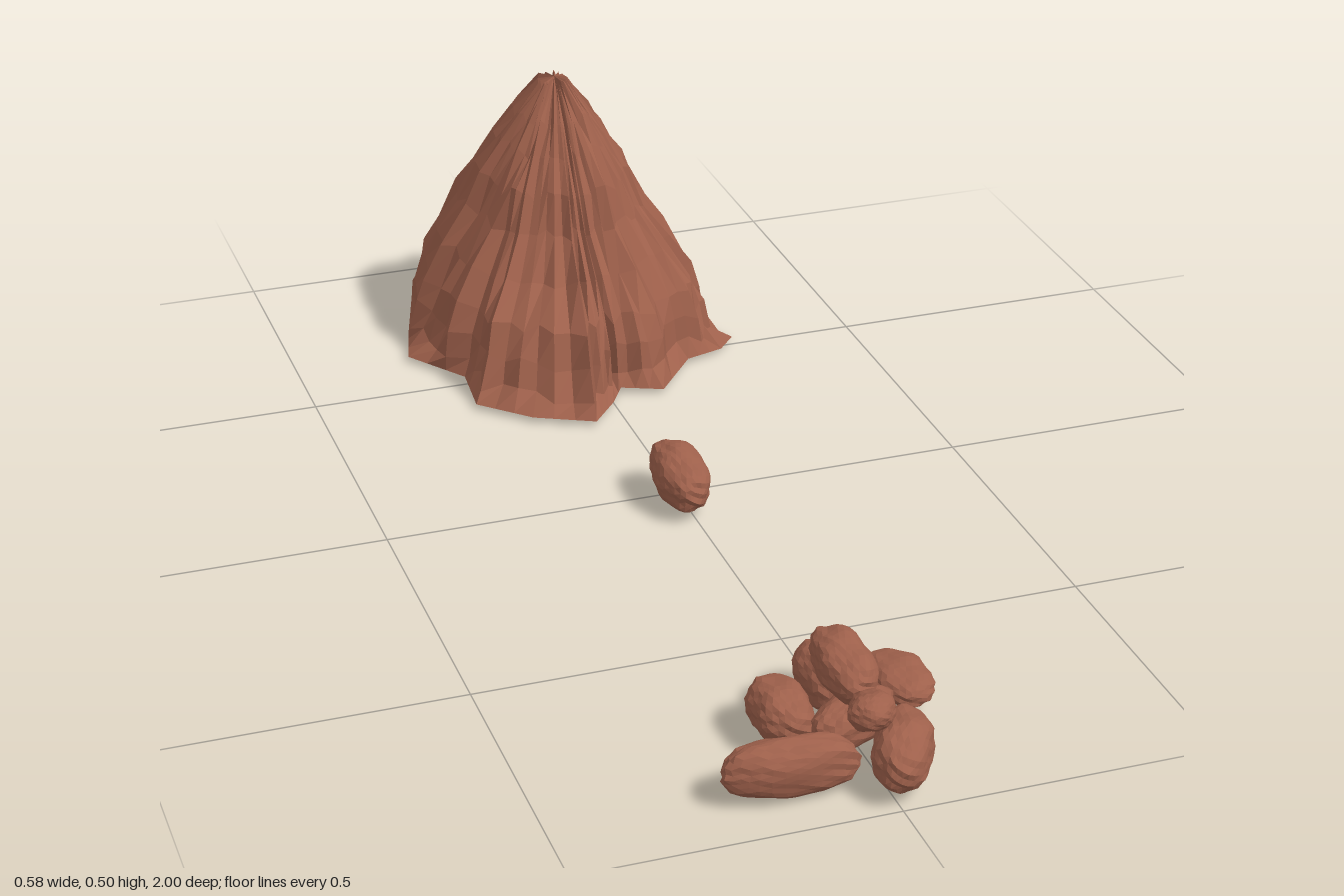
import * as THREE from 'three';

const clay = new THREE.MeshStandardMaterial({ color: 0x9e604b });
clay.name = 'red clay';
clay.flatShading = true;

function seeded(seed) {
  let s = seed;
  return () => (s = (s * 16807) % 2147483647) / 2147483647;
}

// Foot of the mound, clockwise from the back, relative to the peak: x, z
const FOOT = [
  [0, -0.34], [0.09, -0.33], [0.16, -0.3], [0.22, -0.24], [0.25, -0.21], [0.235, -0.15], [0.29, -0.09], [0.27, -0.05],
  [0.285, 0], [0.24, 0.06], [0.285, 0.15], [0.25, 0.19], [0.18, 0.21], [0.1, 0.31], [0.03, 0.28],
  [0, 0.33], [-0.05, 0.39], [-0.15, 0.34], [-0.23, 0.26], [-0.22, 0.15], [-0.295, 0.04],
  [-0.265, -0.07], [-0.225, -0.2], [-0.14, -0.3],
];
// Rings of the slope: height, radius, extra depth at the back, share of the foot outline
const RINGS = [
  [0.487, 0.022, 0.9, 0], [0.43, 0.062, 0.6, 0], [0.38, 0.093, 0.55, 0], [0.32, 0.132, 0.45, 0],
  [0.26, 0.16, 0.4, 0], [0.19, 0.205, 0.28, 0.1], [0.13, 0.236, 0.22, 0.45], [0.08, 0.255, 0.2, 0.65],
  [0.035, 0.268, 0.18, 0.85], [0.01, 0.28, 0, 1],
];

function moundGeometry() {
  const rand = seeded(4217), STEPS = 3, n = FOOT.length * STEPS;
  const pos = [0, 0.5, 0], index = [];
  const gullies = Array.from({ length: n }, (_, j) => (j % 2) * 0.04 + rand() * 0.07);
  RINGS.forEach(([y, r, depth, share], k) => {
    const last = k === RINGS.length - 1;
    for (let j = 0; j < n; j++) {
      const a = FOOT[Math.floor(j / STEPS)], b = FOOT[(Math.floor(j / STEPS) + 1) % FOOT.length];
      const t = (j % STEPS) / STEPS;
      const x = a[0] + (b[0] - a[0]) * t, z = a[1] + (b[1] - a[1]) * t;
      const len = Math.hypot(x, z), back = Math.max(0, -z / len), front = Math.max(0, z / len);
      // The foot spreads furthest up the slope at the front
      const mix = last ? 1 : share * (0.3 + 0.7 * front);
      let rad = r * (1 + depth * back) * (1 - mix) + len * mix;
      if (!last) rad *= 1.02 - gullies[j] - rand() * 0.05;
      rad = Math.min(rad, len);
      const h = last ? y : y + (rand() - 0.5) * 0.022;
      pos.push((x / len) * rad, h, (z / len) * rad);
    }
  });
  // Slope from the tip down, then the flat underside
  for (let j = 0; j < n; j++) {
    const j2 = (j + 1) % n;
    index.push(0, 1 + j2, 1 + j);
    for (let k = 0; k < RINGS.length - 1; k++) {
      const u = 1 + k * n, d = u + n;
      index.push(u + j, d + j2, d + j, u + j, u + j2, d + j2);
    }
  }
  const base = 1 + (RINGS.length - 1) * n, centre = pos.length / 3;
  pos.push(0, 0.01, 0);
  for (let j = 0; j < n; j++) index.push(centre, base + j, base + ((j + 1) % n));
  const g = new THREE.BufferGeometry();
  g.setAttribute('position', new THREE.Float32BufferAttribute(pos, 3));
  g.setIndex(index);
  g.computeVertexNormals();
  return g;
}

// Lumpy, slightly blocky boulder with the given half sizes
function boulderGeometry(hx, hy, hz, seed) {
  const g = new THREE.IcosahedronGeometry(1, 5);
  const p = g.attributes.position, v = new THREE.Vector3();
  for (let i = 0; i < p.count; i++) {
    v.fromBufferAttribute(p, i);
    const full = Math.pow(Math.abs(v.x) ** 2.3 + Math.abs(v.y) ** 2.3 + Math.abs(v.z) ** 2.3, -1 / 2.3);
    const lump = 0.03 * Math.sin(v.x * 5 + seed) * Math.sin(v.y * 6 + seed * 2)
      + 0.03 * Math.sin(v.z * 7 + seed * 3 + v.x * 3)
      - 0.05 * Math.abs(Math.sin(v.x * 4 + v.y * 7 - v.z * 5 + seed * 5));
    v.multiplyScalar(full * (1 + lump));
    p.setXYZ(i, v.x * hx, v.y * hy, v.z * hz);
  }
  g.computeVertexNormals();
  return g;
}

// Name, centre, half sizes, rotation
const BOULDERS = [
  ['loneBoulder', [-0.008, 0.055, 0.038], [0.045, 0.045, 0.082], [0.15, 0, 0]],
  ['leftBoulder', [0.105, 0.041, 0.724], [0.047, 0.027, 0.071], [0, 0, 0]],
  ['rightBoulder', [-0.102, 0.052, 0.767], [0.047, 0.043, 0.071], [0, 0, 0]],
  ['rearBoulder', [-0.01, 0.055, 0.702], [0.041, 0.046, 0.071], [0, 0, 0]],
  ['middleBoulder', [-0.01, 0.055, 0.825], [0.08, 0.042, 0.04], [0, 0.45, 0]],
  ['topBoulder', [-0.012, 0.126, 0.79], [0.043, 0.038, 0.082], [0.12, 0, 0]],
  ['longBoulder', [-0.138, 0.048, 0.905], [0.108, 0.046, 0.039], [0, -0.03, -0.04]],
  ['frontBoulder', [0.03, 0.052, 0.922], [0.045, 0.048, 0.085], [0, -0.5, 0]],
  ['smallBoulder', [-0.012, 0.112, 0.9], [0.035, 0.028, 0.052], [-0.3, -0.5, 0]],
];

export function createModel() {
  const model = new THREE.Group();
  model.name = 'moundAndBoulders';

  const mound = new THREE.Mesh(moundGeometry(), clay);
  mound.name = 'mound';
  mound.position.set(-0.005, 0, -0.66);
  model.add(mound);

  BOULDERS.forEach(([name, at, half, turn], i) => {
    const rock = new THREE.Mesh(boulderGeometry(...half, i * 1.7 + 1), clay);
    rock.name = name;
    rock.position.set(...at);
    rock.rotation.set(...turn);
    model.add(rock);
  });
  return model;
}
